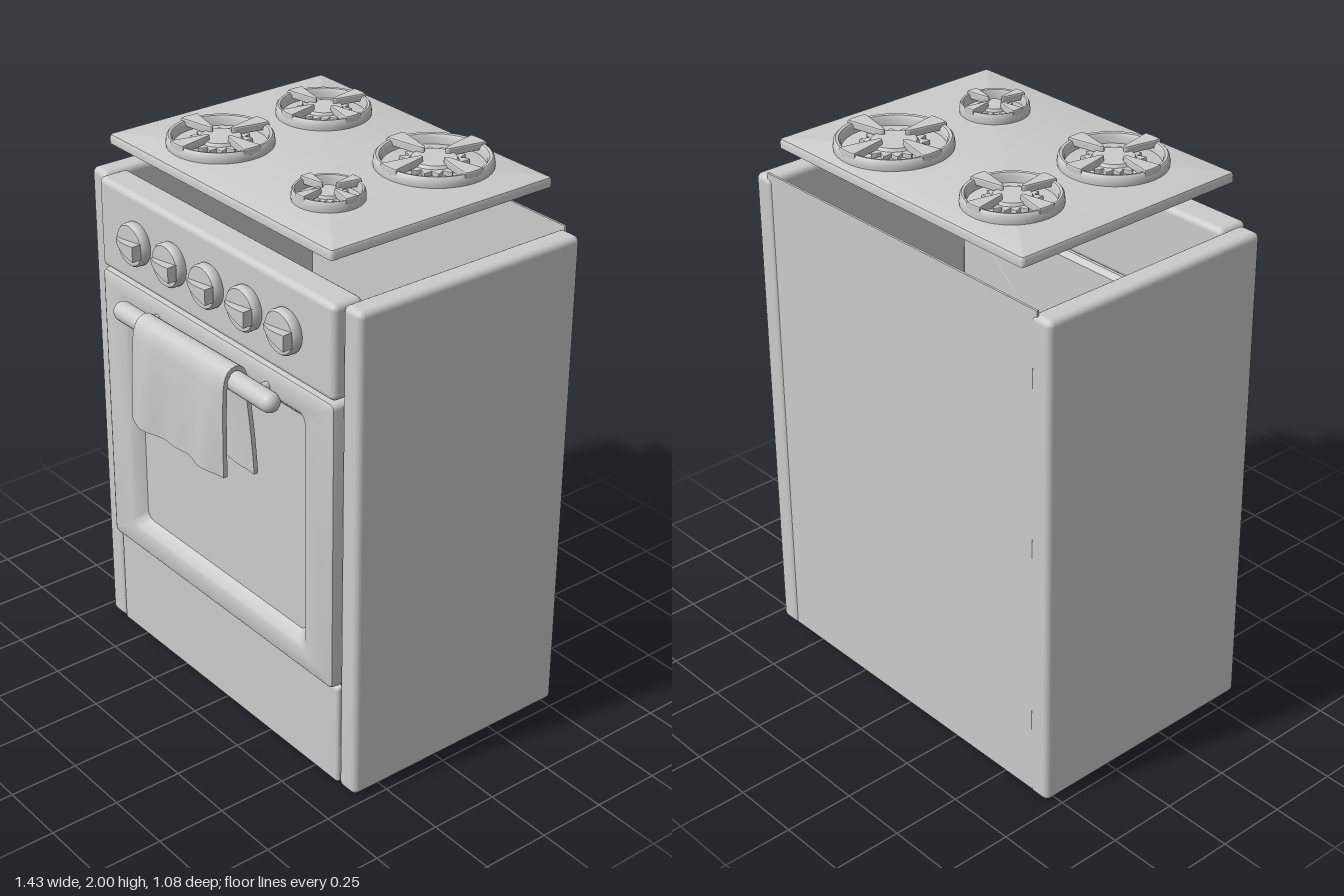
import * as THREE from 'three';
import { RoundedBoxGeometry } from 'three/addons/geometries/RoundedBoxGeometry.js';
import { toCreasedNormals } from 'three/addons/utils/BufferGeometryUtils.js';

const mat = new THREE.MeshStandardMaterial({ color: 0xcccccc });
const matDouble = new THREE.MeshStandardMaterial({ color: 0xcccccc, side: THREE.DoubleSide });

function add(parent, name, geometry, x = 0, y = 0, z = 0, material = mat) {
  const mesh = new THREE.Mesh(geometry, material);
  mesh.name = name;
  mesh.position.set(x, y, z);
  parent.add(mesh);
  return mesh;
}

// Rounded box given by its minimum and maximum on each axis
function slab(parent, name, [x0, x1], [y0, y1], [z0, z1], r) {
  const g = new RoundedBoxGeometry(x1 - x0, y1 - y0, z1 - z0, 3, r);
  return add(parent, name, g, (x0 + x1) / 2, (y0 + y1) / 2, (z0 + z1) / 2);
}

// Surface through rounded rectangles [halfWidth, halfHeight, cornerRadius, z], back to front
function loftRects(sections) {
  const perCorner = 6, n = perCorner * 4, pos = [], index = [];
  for (const [w, h, r, z] of sections) {
    for (let i = 0; i < n; i++) {
      const c = Math.floor(i / perCorner);
      const a = (c + (i % perCorner) / (perCorner - 1)) * Math.PI / 2;
      const sx = c === 0 || c === 3 ? 1 : -1, sy = c < 2 ? 1 : -1;
      pos.push(sx * (w - r) + r * Math.cos(a), sy * (h - r) + r * Math.sin(a), z);
    }
  }
  for (let s = 0; s < sections.length - 1; s++) {
    for (let i = 0; i < n; i++) {
      const a = s * n + i, b = s * n + (i + 1) % n;
      index.push(a, b, b + n, a, b + n, a + n);
    }
  }
  const g = new THREE.BufferGeometry();
  g.setAttribute('position', new THREE.Float32BufferAttribute(pos, 3));
  g.setIndex(index);
  return toCreasedNormals(g, 0.6);
}

// Flat shape extruded upwards between two heights, lying in the xz plane
function plateShape(shape, y0, y1, bevel) {
  const g = new THREE.ExtrudeGeometry(shape, {
    depth: y1 - y0 - 2 * bevel, bevelEnabled: bevel > 0, bevelSize: bevel,
    bevelThickness: bevel, bevelOffset: -bevel, bevelSegments: 2, curveSegments: 24,
  });
  g.rotateX(-Math.PI / 2);
  g.translate(0, y0 + bevel, 0);
  return g;
}

function makeBurner(R) {
  const burner = new THREE.Group();
  burner.name = 'burner';
  // Round grate ring
  const profile = [[0.86, 1.94], [0.98, 1.94], [1, 1.965], [0.985, 1.985], [0.95, 1.992],
    [0.9, 1.99], [0.865, 1.98], [0.86, 1.94]].map(([r, y]) => new THREE.Vector2(r * R, y));
  add(burner, 'grateRing', toCreasedNormals(new THREE.LatheGeometry(profile, 48), 0.7));
  // Toothed flame crown with its cap
  const crown = new THREE.Shape();
  const teeth = 16;
  for (let i = 0; i < teeth * 4; i++) {
    const r = R * [0.46, 0.53, 0.59, 0.53][i % 4], a = i / (teeth * 4) * Math.PI * 2;
    if (i) crown.lineTo(r * Math.cos(a), r * Math.sin(a));
    else crown.moveTo(r, 0);
  }
  add(burner, 'flameCrown', plateShape(crown, 1.94, 1.972, 0.003));
  add(burner, 'burnerCap', new THREE.CylinderGeometry(R * 0.38, R * 0.42, 0.012, 32), 0, 1.976, 0);
  // Four tapering pan supports
  const arm = new THREE.Shape();
  arm.moveTo(R * 0.3, -R * 0.05);
  arm.lineTo(R * 0.97, -R * 0.19);
  arm.quadraticCurveTo(R * 1.01, 0, R * 0.97, R * 0.19);
  arm.lineTo(R * 0.3, R * 0.05);
  arm.quadraticCurveTo(R * 0.2, 0, R * 0.3, -R * 0.05);
  const armGeo = plateShape(arm, 1.972, 2.0, 0.005);
  for (let i = 0; i < 4; i++) add(burner, 'panSupport', armGeo).rotation.y = i * Math.PI / 2;
  return burner;
}

function makeKnob() {
  const knob = new THREE.Group();
  knob.name = 'knob';
  const profile = [[0, 0], [0.072, 0], [0.076, 0.006], [0.076, 0.03], [0.07, 0.038], [0, 0.04]]
    .map(([r, y]) => new THREE.Vector2(r, y));
  const base = new THREE.LatheGeometry(profile, 36);
  base.rotateX(Math.PI / 2);
  add(knob, 'knobBase', toCreasedNormals(base, 0.7));
  // Wedge grip: rises and widens towards the right-hand end
  const side = new THREE.Shape();
  side.moveTo(-0.072, 0.03);
  side.lineTo(0.066, 0.03);
  side.lineTo(0.068, 0.072);
  side.quadraticCurveTo(-0.02, 0.072, -0.072, 0.042);
  const grip = new THREE.ExtrudeGeometry(side, { depth: 1, bevelEnabled: false, curveSegments: 10 });
  grip.translate(0, 0, -0.5);
  grip.rotateX(Math.PI / 2);
  const p = grip.attributes.position;
  for (let i = 0; i < p.count; i++) {
    const t = (p.getX(i) + 0.072) / 0.14;
    p.setXYZ(i, p.getX(i), p.getY(i) * (0.014 + 0.042 * t), p.getZ(i));
  }
  grip.computeVertexNormals();
  add(knob, 'knobGrip', grip);
  return knob;
}

function makeTowel() {
  // Path up the front, over the bar and down behind it
  const path = new THREE.CatmullRomCurve3([[1.06, 0.509], [1.2, 0.51], [1.34, 0.508], [1.4, 0.503],
    [1.432, 0.49], [1.443, 0.465], [1.432, 0.44], [1.4, 0.428], [1.34, 0.424], [1.2, 0.417], [1.06, 0.415]]
    .map(([y, z]) => new THREE.Vector3(0, y, z)));
  const g = new THREE.BoxGeometry(0.5, 1, 0.016, 28, 56, 1);
  const p = g.attributes.position, across = new THREE.Vector3(1, 0, 0);
  for (let i = 0; i < p.count; i++) {
    const x = p.getX(i), t = THREE.MathUtils.clamp(p.getY(i) + 0.5, 0, 1);
    const c = path.getPointAt(t);
    const n = across.clone().cross(path.getTangentAt(t)).normalize();
    const drop = THREE.MathUtils.clamp((1.44 - c.y) / 0.38, 0, 1), front = t < 0.5;
    const fold = Math.sin(x * 19 - 1) * 0.6 + Math.sin(x * 37 + 2) * 0.4;
    const wave = front ? drop * (0.006 + 0.016 * fold) : drop * 0.005 * fold;
    const shift = front ? -0.012 * drop : 0.03 * drop;
    p.setXYZ(i, x - 0.02 + shift,
      c.y + n.y * p.getZ(i) + 0.007 * Math.sin(x * 14) * drop + 0.02 * x * (1 - drop),
      c.z + n.z * p.getZ(i) + wave);
  }
  g.computeVertexNormals();
  return g;
}

export function createModel() {
  const stove = new THREE.Group();
  stove.name = 'stove';

  // Cabinet, open at the top and bottom
  slab(stove, 'leftSidePanel', [0.63, 0.717], [0, 1.795], [-0.54, 0.362], 0.022);
  slab(stove, 'rightSidePanel', [-0.717, -0.63], [0, 1.795], [-0.54, 0.362], 0.022);
  add(stove, 'backPanel', new THREE.BoxGeometry(1.31, 1.8, 0.008), 0, 0.91, -0.53);
  slab(stove, 'drawerFront', [-0.63, 0.63], [0.005, 0.395], [0.335, 0.365], 0.013);
  slab(stove, 'controlPanel', [-0.63, 0.63], [1.467, 1.795], [0.275, 0.392], 0.022);

  // Oven door with a sunken window
  add(stove, 'ovenDoor', loftRects([
    [0.001, 0.001, 0.0005, 0.275], [0.61, 0.51, 0.012, 0.275], [0.63, 0.53, 0.02, 0.29],
    [0.63, 0.53, 0.02, 0.375], [0.626, 0.526, 0.018, 0.388], [0.613, 0.513, 0.012, 0.395],
    [0.5, 0.448, 0.03, 0.395], [0.488, 0.436, 0.03, 0.391], [0.465, 0.413, 0.03, 0.37],
    [0.455, 0.403, 0.03, 0.36], [0.001, 0.001, 0.0005, 0.36],
  ]), 0, 0.93, 0);

  // Door handle on two short posts
  const bar = new THREE.CapsuleGeometry(0.035, 0.80, 8, 24);
  bar.rotateZ(Math.PI / 2);
  add(stove, 'doorHandle', bar, 0, 1.4, 0.462);
  for (const x of [-0.3, 0.3]) {
    const post = new THREE.CylinderGeometry(0.016, 0.016, 0.07, 16);
    post.rotateX(Math.PI / 2);
    add(stove, 'handlePost', post, x, 1.392, 0.42);
  }
  add(stove, 'towel', makeTowel());

  // Control knobs
  for (let i = -2; i <= 2; i++) {
    const knob = makeKnob();
    knob.position.set(i * 0.202, 1.63, 0.39);
    stove.add(knob);
  }

  // Raised cooktop: a shallow tray, hollow underneath
  const tray = loftRects([
    [0.587, 0.45, 0.012, 0], [0.587, 0.45, 0.012, 0.022], [0.583, 0.446, 0.01, 0.031],
    [0.574, 0.437, 0.008, 0.035], [0.001, 0.001, 0.0005, 0.035],
  ]);
  tray.rotateX(-Math.PI / 2);
  add(stove, 'cooktop', tray, 0, 1.922, -0.08, matDouble);

  // Burners of four sizes
  for (const [x, z, r] of [[-0.285, -0.298, 0.163], [0.28, -0.298, 0.197],
    [-0.286, 0.132, 0.18], [0.28, 0.134, 0.118]]) {
    const burner = makeBurner(r);
    burner.position.set(x, 0, z);
    stove.add(burner);
  }
  return stove;
}
